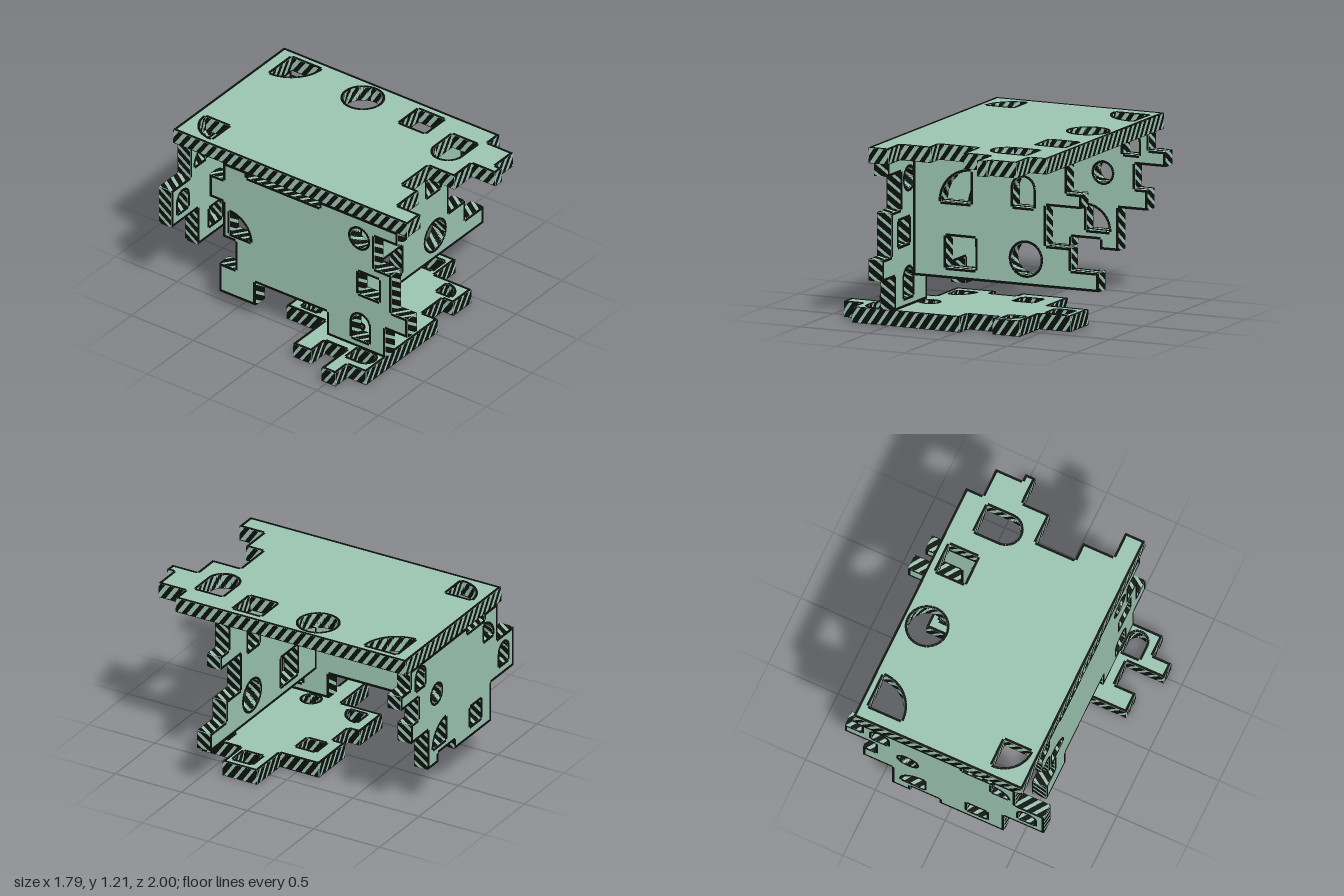
import * as THREE from 'three';
import { mergeGeometries } from 'three/addons/utils/BufferGeometryUtils.js';

const THICK = 0.1;   // panel thickness
const LINE = 0.016;  // width of the dark border
const LIFT = 0.003;  // how far painted plates stand off

const points = (list) => list.map(([x, y]) => new THREE.Vector2(x, y));

// Part of a circle as points
function arc(cx, cy, r, from, to, n) {
  return Array.from({ length: n + 1 }, (_, i) => {
    const a = from + ((to - from) * i) / n;
    return new THREE.Vector2(cx + r * Math.cos(a), cy + r * Math.sin(a));
  });
}

// Cut-out shapes
const rect = (x0, y0, x1, y1) => points([[x0, y0], [x1, y0], [x1, y1], [x0, y1]]);
const circle = (cx, cy, r) => arc(cx, cy, r, 0, Math.PI * 2, 32).slice(0, -1);
// Quarter disc with its square corner at (cx, cy), starting at the given quadrant
const quarter = (cx, cy, r, quadrant) => [
  new THREE.Vector2(cx, cy),
  ...arc(cx, cy, r, (quadrant * Math.PI) / 2, ((quadrant + 1) * Math.PI) / 2, 12),
];
// Round-topped opening, round end towards +y
function arch(x0, y0, x1, y1) {
  const r = (x1 - x0) / 2;
  return [...points([[x0, y0], [x1, y0]]), ...arc(x0 + r, y1 - r, r, 0, Math.PI, 16)];
}
// Round-ended opening, round end towards -x
function sideArch(x0, y0, x1, y1) {
  const r = (y1 - y0) / 2;
  return [...points([[x1, y0], [x1, y1]]), ...arc(x0 + r, y0 + r, r, Math.PI / 2, Math.PI * 1.5, 16)];
}

// Order a loop so that solid material lies on its left
function orient(loop, isHole) {
  return THREE.ShapeUtils.isClockWise(loop) === isHole ? loop : loop.slice().reverse();
}

// Dark border strips along a loop, on both faces of the panel
function borderStrips(loop, out) {
  loop.forEach((a, i) => {
    const b = loop[(i + 1) % loop.length];
    const len = a.distanceTo(b);
    if (len < 1e-4) return;
    const angle = Math.atan2(b.y - a.y, b.x - a.x);
    for (const z of [0, THICK]) {
      const strip = new THREE.BoxGeometry(len, LINE, LIFT * 2);
      strip.translate(len / 2, LINE / 2, 0);
      strip.rotateZ(angle);
      strip.translate(a.x, a.y, z);
      out.push(strip);
    }
  });
}

// Slanted stripes painted around the cut edges of a loop
function edgeStripes(loop, duty, positions) {
  const period = 0.07;
  let offset = 0;
  loop.forEach((a, i) => {
    const b = loop[(i + 1) % loop.length];
    const len = a.distanceTo(b);
    if (len < 1e-4) return;
    const dir = b.clone().sub(a).divideScalar(len);
    const at = (s, z) => {
      const t = Math.min(Math.max(s, 0), len);
      return [a.x + dir.x * t + dir.y * LIFT, a.y + dir.y * t - dir.x * LIFT, z];
    };
    for (let s = -period * 2 - (offset % period); s < len; s += period) {
      const e = s + period * duty;
      // Two bands follow the slant so that clamped ends stay tidy
      for (let k = 0; k < 4; k++) {
        const z0 = (THICK * k) / 4, z1 = (THICK * (k + 1)) / 4;
        const s0 = z0 * 0.7, s1 = z1 * 0.7;
        if (e + s1 <= 0 || s + s0 >= len) continue;
        const p = at(s + s0, z0), q = at(e + s0, z0), r = at(e + s1, z1), t = at(s + s1, z1);
        positions.push(...p, ...q, ...r, ...p, ...r, ...t);
      }
    }
    offset += len;
  });
}

export function createModel() {
  const model = new THREE.Group();
  model.name = 'panelHouse';
  const green = new THREE.MeshStandardMaterial({ color: 0x9ac3b0 });
  green.name = 'pale green';
  const black = new THREE.MeshStandardMaterial({ color: 0x0c100e });
  black.name = 'ink black';

  // A flat panel with cut-outs, inked borders and striped edges
  function addPanel(name, outline, holes, duty) {
    const group = new THREE.Group();
    group.name = name;
    const outer = orient(points(outline), false);
    const inner = holes.map((h) => orient(h, true));
    const shape = new THREE.Shape(outer);
    shape.holes = inner.map((h) => new THREE.Path(h));
    const body = new THREE.Mesh(
      new THREE.ExtrudeGeometry(shape, { depth: THICK, bevelEnabled: false }), green);
    body.name = name + 'Slab';

    const strips = [], positions = [];
    for (const loop of [outer, ...inner]) {
      borderStrips(loop, strips);
      edgeStripes(loop, duty, positions);
    }
    const border = new THREE.Mesh(mergeGeometries(strips), black);
    border.name = name + 'Border';
    const stripeGeometry = new THREE.BufferGeometry();
    stripeGeometry.setAttribute('position', new THREE.Float32BufferAttribute(positions, 3));
    stripeGeometry.computeVertexNormals();
    const stripes = new THREE.Mesh(stripeGeometry, black);
    stripes.name = name + 'EdgeStripes';
    group.add(body, border, stripes);
    model.add(group);
    return group;
  }

  // Roof, drawn in x and z
  const roof = addPanel('roof', [
    [-0.55, -0.995], [0.66, -0.995], [0.66, 0.745], [0.54, 0.745], [0.54, 0.945], [0.35, 0.945],
    [0.35, 0.995], [0.28, 0.995], [0.28, 0.805], [0.09, 0.805], [0.09, 0.595], [-0.19, 0.595],
    [-0.19, 0.72], [-0.41, 0.72], [-0.41, 0.9], [-0.55, 0.9],
  ], [
    quarter(-0.3, -0.73, 0.19, 2), quarter(0.6, -0.89, 0.235, 1), circle(0.487, -0.23, 0.13),
    rect(0.39, 0.14, 0.595, 0.345), sideArch(0.205, 0.495, 0.485, 0.695),
  ], 0.52);
  roof.rotation.x = Math.PI / 2;
  roof.position.y = 1.21;

  // Floor, drawn in x and z
  const floor = addPanel('floor', [
    [-0.77, 0.14], [-0.43, 0.14], [-0.43, -0.165], [-0.15, -0.165], [-0.15, -0.08], [0.04, -0.08],
    [0.04, -0.165], [0.37, -0.165], [0.37, 0.13], [0.66, 0.13], [0.66, 0.39], [0.435, 0.39],
    [0.435, 0.685], [0.24, 0.685], [0.24, 0.6], [0.02, 0.6], [0.02, 0.72], [-0.76, 0.72],
    [-0.76, 0.57], [-0.89, 0.57], [-0.89, 0.46], [-0.62, 0.46], [-0.62, 0.285], [-0.77, 0.285],
  ], [
    arch(-0.69, 0.51, -0.56, 0.68), quarter(0.285, 0.52, 0.11, 0), rect(0.465, 0.205, 0.6, 0.345),
    circle(-0.38, 0.34, 0.06), quarter(-0.38, -0.08, 0.13, 0), rect(0.1, -0.06, 0.24, 0.08),
  ], 0.65);
  floor.rotation.x = Math.PI / 2;
  floor.position.y = 0.105;

  // Side wall, drawn in z and y
  const sideWall = addPanel('sideWall', [
    [0.82, 1.11], [0.82, 1.01], [0.63, 1.01], [0.63, 0.76], [0.77, 0.76], [0.77, 0.47],
    [0.9, 0.47], [0.9, 0.33], [0.72, 0.33], [0.72, 0.105], [0.25, 0.105], [0.25, 0.28],
    [-0.33, 0.28], [-0.33, 0.105], [-0.62, 0.105], [-0.62, 0.32], [-0.49, 0.32], [-0.49, 0.54],
    [-0.59, 0.54], [-0.59, 0.81], [-0.7, 0.81], [-0.7, 0.98], [-0.59, 0.98], [-0.59, 1.11],
    [-0.4, 1.11], [-0.4, 1.065], [0.19, 1.065], [0.19, 1.11],
  ], [
    circle(0.51, 0.95, 0.073), rect(0.5, 0.52, 0.67, 0.69), arch(0.45, 0.165, 0.59, 0.36),
    quarter(-0.54, 0.58, 0.17, 0),
  ], 0.65);
  sideWall.rotation.y = -Math.PI / 2;
  sideWall.position.x = -0.45;

  // Middle wall, drawn in x and y
  const middleWall = addPanel('middleWall', [
    [-0.45, 0.295], [0.89, 0.295], [0.89, 0.42], [0.69, 0.42], [0.69, 0.57], [0.51, 0.57],
    [0.51, 0.835], [0.765, 0.835], [0.765, 0.93], [0.66, 0.93], [0.66, 1.11], [-0.45, 1.11],
  ], [
    quarter(-0.035, 0.8, 0.215, 1), arch(0.27, 0.81, 0.42, 1.01),
    rect(-0.215, 0.365, 0, 0.575), circle(0.365, 0.47, 0.108),
  ], 0.6);
  middleWall.position.z = 0.345;

  // Back wall, drawn in x and y
  const backWall = addPanel('backWall', [
    [-0.42, 0.29], [0.04, 0.29], [0.04, 0.355], [0.25, 0.355], [0.25, 0.29], [0.38, 0.29],
    [0.38, 0.575], [0.59, 0.575], [0.59, 0.71], [0.5, 0.71], [0.5, 0.875], [0.72, 0.875],
    [0.72, 0.975], [0.6, 0.975], [0.6, 1.11], [-0.12, 1.11], [-0.12, 1.065], [-0.34, 1.065],
    [-0.34, 1.11], [-0.5, 1.11], [-0.5, 0.85], [-0.705, 0.85], [-0.705, 0.57], [-0.42, 0.57],
  ], [
    circle(0.27, 0.8, 0.066), rect(-0.295, 0.365, -0.155, 0.505), quarter(0.15, 0.41, 0.165, 0),
    arch(0.415, 0.935, 0.53, 1.08), quarter(-0.33, 0.91, 0.12, 1), arch(-0.64, 0.64, -0.525, 0.79),
  ], 0.6);
  backWall.position.z = -0.995;

  return model;
}
